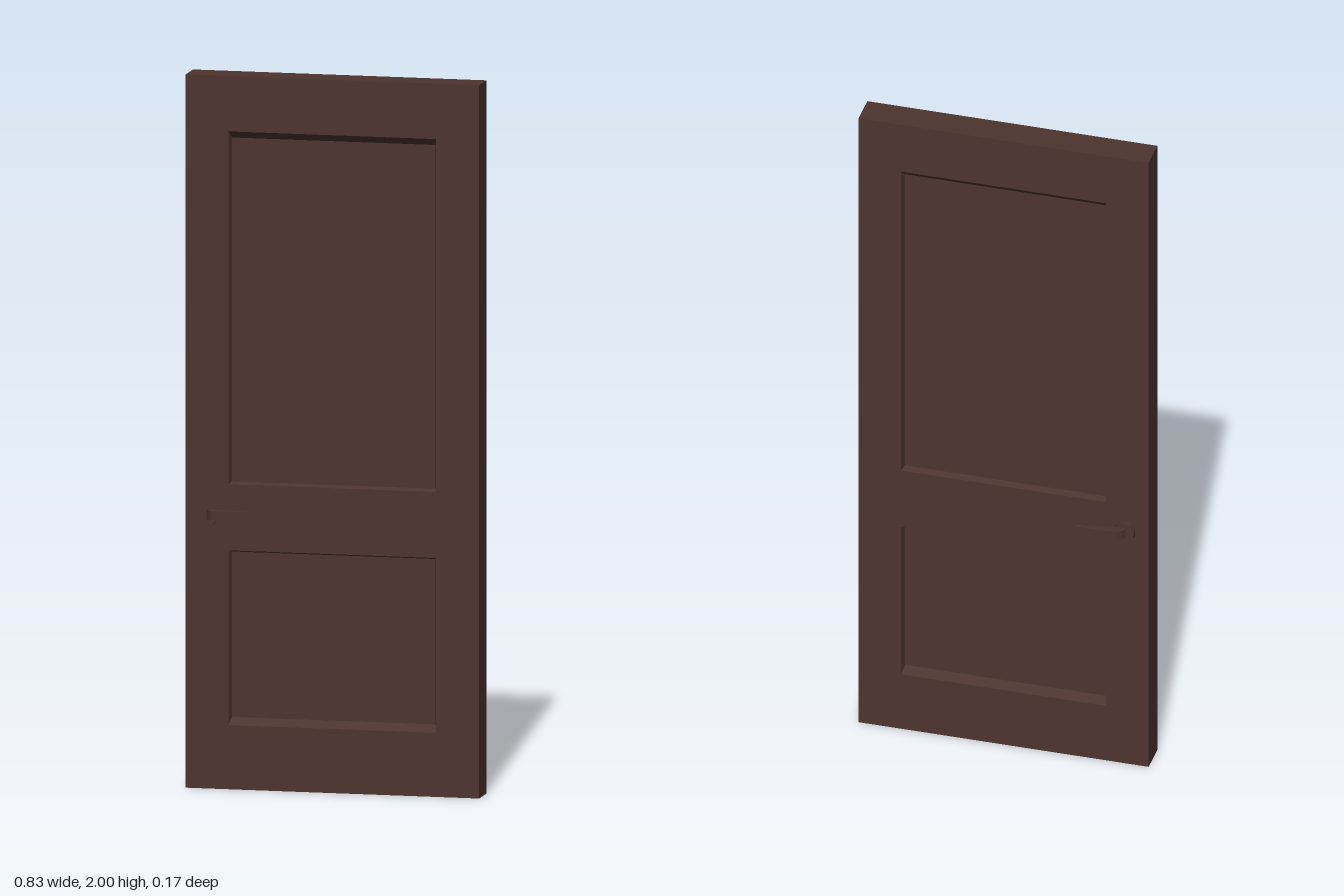
import * as THREE from 'three';

const HALF_W = 0.417, HEIGHT = 2, HALF_D = 0.045, RECESS = 0.02;
// Sunken panels: outer opening, and how far the top and bottom edges slope inwards
const PANELS = [
  { name: 'upperPanel', x: 0.295, y0: 0.855, y1: 1.845, slopeBottom: 0.006, slopeTop: 0.02 },
  { name: 'lowerPanel', x: 0.295, y0: 0.18, y1: 0.67, slopeBottom: 0.02, slopeTop: 0.006 },
];
const SIDE_SLOPE = 0.006;

const rect = (x, y0, y1) => [[-x, y0], [x, y0], [x, y1], [-x, y1]];
const points = (list) => list.map(([x, y]) => new THREE.Vector2(x, y));

// Sloped rim and flat floor of one sunken panel, facing +z
function recessGeometry(p) {
  const outer = rect(p.x, p.y0, p.y1).map(([x, y]) => [x, y, HALF_D]);
  const inner = rect(p.x - SIDE_SLOPE, p.y0 + p.slopeBottom, p.y1 - p.slopeTop)
    .map(([x, y]) => [x, y, HALF_D - RECESS]);
  const pos = [];
  const quad = (a, b, c, d) => pos.push(...a, ...b, ...c, ...a, ...c, ...d);
  for (let i = 0; i < 4; i++) {
    const j = (i + 1) % 4;
    quad(outer[i], outer[j], inner[j], inner[i]);
  }
  quad(...inner);
  const g = new THREE.BufferGeometry();
  g.setAttribute('position', new THREE.Float32BufferAttribute(pos, 3));
  g.computeVertexNormals();
  return g;
}

// Lever handle on a round plate, facing +z
function createHandle(material) {
  const handle = new THREE.Group();
  const y = 0.771;

  const plateGeo = new THREE.CylinderGeometry(0.031, 0.031, 0.014, 8);
  plateGeo.rotateY(Math.PI / 8);
  plateGeo.rotateX(Math.PI / 2);
  const plate = new THREE.Mesh(plateGeo, material);
  plate.name = 'handlePlate';
  plate.position.set(-0.349, y, HALF_D + 0.006);

  // Lever outline seen from above (x, z), bending out of the plate and along the door
  const outline = new THREE.Shape(points([
    [-0.355, 0.056], [-0.323, 0.056], [-0.31, 0.063], [-0.222, 0.073],
    [-0.219, 0.083], [-0.322, 0.083], [-0.335, 0.08], [-0.346, 0.072],
  ]));
  const leverGeo = new THREE.ExtrudeGeometry(outline, { depth: 0.028, bevelEnabled: false });
  leverGeo.rotateX(Math.PI / 2);
  const lever = new THREE.Mesh(leverGeo, material);
  lever.name = 'handleLever';
  lever.position.y = y + 0.014;

  handle.add(plate, lever);
  return handle;
}

export function createModel() {
  const door = new THREE.Group();
  door.name = 'door';
  const wood = new THREE.MeshStandardMaterial({ color: 0x4e342e });
  wood.name = 'dark brown';

  // Slab with an opening for each panel
  const slab = new THREE.Shape(points(rect(HALF_W, 0, HEIGHT)));
  for (const p of PANELS) slab.holes.push(new THREE.Path(points(rect(p.x, p.y0, p.y1))));
  const frameGeo = new THREE.ExtrudeGeometry(slab, { depth: HALF_D * 2, bevelEnabled: false });
  frameGeo.translate(0, 0, -HALF_D);
  const frame = new THREE.Mesh(frameGeo, wood);
  frame.name = 'doorFrame';
  door.add(frame);

  // Panels on both faces
  for (const p of PANELS) {
    for (const face of ['front', 'back']) {
      const panel = new THREE.Mesh(recessGeometry(p), wood);
      panel.name = `${p.name} ${face}`;
      if (face === 'back') panel.rotation.y = Math.PI;
      door.add(panel);
    }
  }

  // Handles on both faces, mirrored through the door
  for (const side of [1, -1]) {
    const handle = createHandle(wood);
    handle.name = side > 0 ? 'frontHandle' : 'backHandle';
    handle.scale.z = side;
    door.add(handle);
  }
  return door;
}
